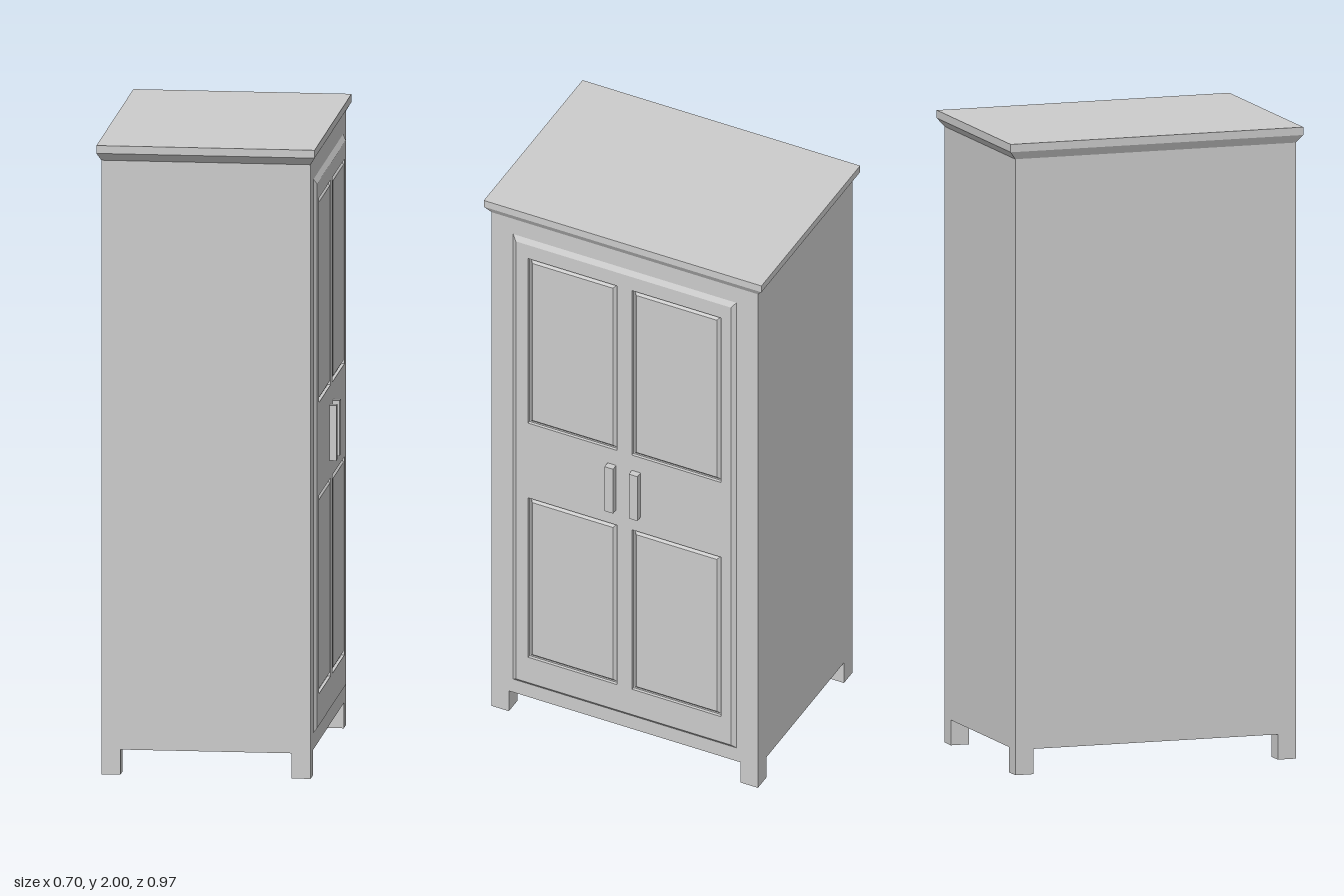
import * as THREE from 'three';

const material = new THREE.MeshStandardMaterial({ color: 0xcccccc, flatShading: true });

export function createModel() {
  const model = new THREE.Group();
  model.name = 'wardrobe';

  const add = (name, geometry) => {
    const mesh = new THREE.Mesh(geometry, material);
    mesh.name = name;
    model.add(mesh);
    return mesh;
  };

  // Box given by its limits on each axis
  const block = (x0, x1, y0, y1, z0, z1) =>
    new THREE.BoxGeometry(x1 - x0, y1 - y0, z1 - z0)
      .translate((x0 + x1) / 2, (y0 + y1) / 2, (z0 + z1) / 2);

  // Move every vertex by a rule, then rebuild flat normals
  const reshape = (geometry, rule) => {
    const p = geometry.attributes.position;
    const v = new THREE.Vector3();
    for (let i = 0; i < p.count; i++) {
      rule(v.fromBufferAttribute(p, i));
      p.setXYZ(i, v.x, v.y, v.z);
    }
    geometry.computeVertexNormals();
    return geometry;
  };

  const back = -0.34, front = 0.318, half = 0.465;
  const doorFace = 0.328;

  // Carcass and four short square feet
  add('body', block(back, front, 0.08, 1.95, -half, half));
  for (const x of [back, front - 0.06])
    for (const z of [-half, half - 0.06])
      add('foot', block(x, x + 0.06, 0, 0.08, z, z + 0.06));

  // Cornice: flared moulding below a flat top board
  add('corniceMoulding', reshape(block(-0.353, 0.333, 1.95, 1.975, -0.485, 0.485), v => {
    if (v.y < 1.96) {
      v.x = v.x < 0 ? back : front;
      v.z = Math.sign(v.z) * half;
    }
  }));
  add('topBoard', block(-0.353, 0.333, 1.975, 2, -0.485, 0.485));

  // Door front with four openings and a chamfered outer edge
  const rectangle = (path, z0, z1, y0, y1) => {
    path.moveTo(-z0, y0);
    path.lineTo(-z1, y0);
    path.lineTo(-z1, y1);
    path.lineTo(-z0, y1);
    path.closePath();
    return path;
  };
  const panels = [];
  for (const [z0, z1] of [[0.022, 0.333], [-0.341, -0.03]])
    for (const [y0, y1] of [[0.245, 0.875], [1.17, 1.82]])
      panels.push([z0, z1, y0, y1]);

  const outline = rectangle(new THREE.Shape(), 0.39, -0.39, 0.132, 1.89);
  for (const p of panels) outline.holes.push(rectangle(new THREE.Path(), ...p));
  const doorGeometry = new THREE.ExtrudeGeometry(outline, { depth: doorFace - front, bevelEnabled: false });
  reshape(doorGeometry, v => {
    if (v.z < 0.005) return;
    if (Math.abs(v.x) > 0.38) v.x -= Math.sign(v.x) * 0.014;
    if (v.y < 0.14) v.y += 0.013;
    if (v.y > 1.88) v.y -= 0.017;
  });
  add('doorFrame', doorGeometry.rotateY(Math.PI / 2).translate(front, 0, 0));

  // Raised panels, bevelled down into the openings
  const bevel = 0.015;
  for (const [z0, z1, y0, y1] of panels) {
    add('doorPanel', reshape(block(front - 0.005, doorFace - 0.001, y0, y1, z0, z1), v => {
      if (v.x < front) return;
      v.y += v.y < (y0 + y1) / 2 ? bevel : -bevel;
      v.z += v.z < (z0 + z1) / 2 ? bevel : -bevel;
    }));
  }

  // Upright bar handles
  for (const z of [0.04, -0.045])
    add('handle', block(doorFace - 0.002, 0.35, 0.935, 1.11, z - 0.015, z + 0.015));

  return model;
}
